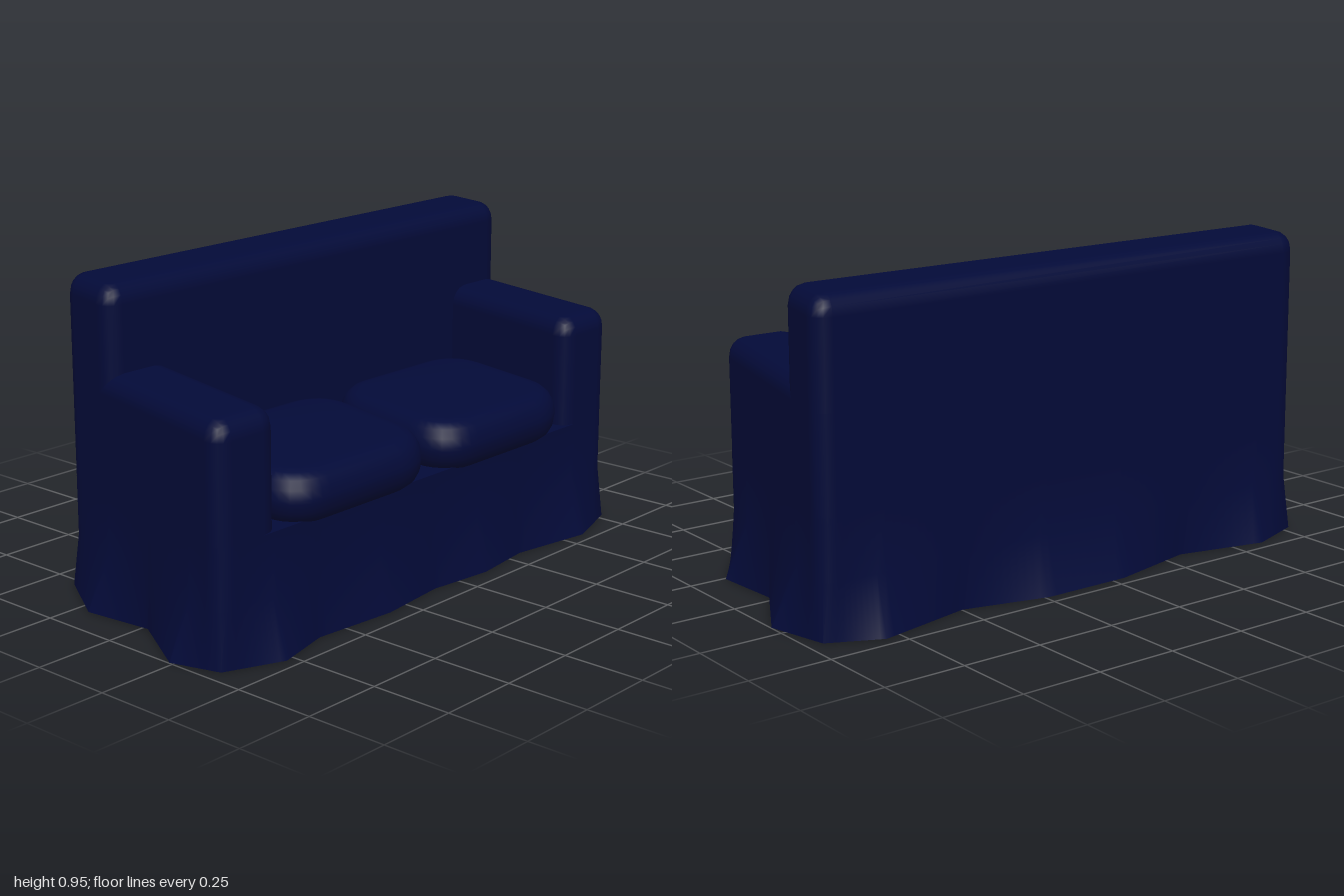
import * as THREE from 'three';
import { RoundedBoxGeometry } from 'three/addons/geometries/RoundedBoxGeometry.js';
import { toCreasedNormals } from 'three/addons/utils/BufferGeometryUtils.js';

const SLANT = 0.235;            // the whole sofa leans sideways in plan: z += SLANT * x
const HX = 0.4, HZ = 0.875;     // half depth and half length of the body
const R = 0.06, SEAT = 0.345;   // edge radius and seat height
const BACK = -0.15, ARM = 0.69, ARM_IN = 0.64; // backrest front, armrest top, armrest inner side
const LAP = 0.015;              // overlap of the upper parts over the walls
const slant = new THREE.Matrix4().set(1, 0, 0, 0, 0, 1, 0, 0, SLANT, 0, 1, 0, 0, 0, 0, 1);

// Rounded block from min to max; the sides flagged in openMin / openMax are cut off square
function shell(min, max, openMin, openMax) {
  const lo = min.map((v, k) => v - (openMin[k] ? R : 0));
  const hi = max.map((v, k) => v + (openMax[k] ? R : 0));
  const geo = new RoundedBoxGeometry(hi[0] - lo[0], hi[1] - lo[1], hi[2] - lo[2], 2, R);
  geo.translate((lo[0] + hi[0]) / 2, (lo[1] + hi[1]) / 2, (lo[2] + hi[2]) / 2);
  const src = geo.index ? geo.toNonIndexed() : geo;
  const p = src.attributes.position.array, n = src.attributes.normal.array;
  const pos = [], nor = [];
  for (let i = 0; i < p.length; i += 9) {
    const cut = [0, 1, 2].some((k) => {
      const c = (p[i + k] + p[i + 3 + k] + p[i + 6 + k]) / 3;
      return (openMin[k] && c < min[k] - 1e-4) || (openMax[k] && c > max[k] + 1e-4);
    });
    if (cut) continue;
    pos.push(...p.slice(i, i + 9));
    nor.push(...n.slice(i, i + 9));
  }
  const out = new THREE.BufferGeometry();
  out.setAttribute('position', new THREE.Float32BufferAttribute(pos, 3));
  out.setAttribute('normal', new THREE.Float32BufferAttribute(nor, 3));
  return out;
}

// Hem of the skirt seen from above (x, z)
const hem = [
  [-0.465, 0.6], [-0.4, 0.32], [-0.465, 0.04], [-0.465, -0.24], [-0.4, -0.5], [-0.465, -0.8],
  [-0.39, -0.955], [-0.2, -1], [0.02, -0.875], [0.24, -0.89], [0.4, -0.775], [0.465, -0.58],
  [0.42, -0.31], [0.445, -0.11], [0.42, 0.1], [0.445, 0.33], [0.42, 0.6], [0.465, 0.78],
  [0.39, 0.955], [0.24, 1], [0.02, 0.875], [-0.2, 0.9], [-0.4, 0.78],
];

// Nearest point on the rounded rectangle of the body
function onBody([x, z]) {
  const cx = THREE.MathUtils.clamp(x, R - HX, HX - R);
  const cz = THREE.MathUtils.clamp(z, R - HZ, HZ - R);
  const d = Math.hypot(x - cx, z - cz) || 1;
  return [cx + (x - cx) / d * R, cz + (z - cz) / d * R];
}

// Flared skirt and upright walls up to the seat, open above and below
function skirtAndWalls() {
  const STEPS = 10, low = [];
  hem.forEach(([x, z], i) => {
    const [nx, nz] = hem[(i + 1) % hem.length];
    for (let s = 0; s < STEPS; s++) {
      const t = s / STEPS, px = x + (nx - x) * t, pz = z + (nz - z) * t;
      low.push([px, pz - SLANT * px]);
    }
  });
  const wall = low.map(onBody), n = low.length;
  const pos = [], idx = [];
  [[low, 0], [wall, 0.165], [wall, SEAT]].forEach(([ring, y]) =>
    ring.forEach(([x, z]) => pos.push(x, y, z)));
  for (let i = 0; i < n; i++) {
    const j = (i + 1) % n;
    for (let r = 0; r < 2; r++) {
      const a = r * n + i, b = r * n + j;
      idx.push(a, a + n, b, b, a + n, b + n);
    }
  }
  const geo = new THREE.BufferGeometry();
  geo.setAttribute('position', new THREE.Float32BufferAttribute(pos, 3));
  geo.setIndex(idx);
  return toCreasedNormals(geo, 0.6);
}

// Plump seat cushion with rounded corners
function cushion(cz) {
  const bevel = 0.065, w = 0.297 - bevel, h = 0.322 - bevel, c = 0.11;
  const s = new THREE.Shape();
  s.moveTo(-w + c, -h);
  s.lineTo(w - c, -h).quadraticCurveTo(w, -h, w, -h + c);
  s.lineTo(w, h - c).quadraticCurveTo(w, h, w - c, h);
  s.lineTo(-w + c, h).quadraticCurveTo(-w, h, -w, h - c);
  s.lineTo(-w, -h + c).quadraticCurveTo(-w, -h, -w + c, -h);
  const geo = new THREE.ExtrudeGeometry(s, {
    depth: 0.01, bevelThickness: 0.073, bevelSize: bevel, bevelSegments: 4, curveSegments: 8,
  });
  geo.rotateX(-Math.PI / 2);
  geo.translate(0.146, 0.402, cz);
  return toCreasedNormals(geo, 0.5);
}

// Copy of a surface moved slightly inwards along its normals
function inset(geo) {
  const copy = geo.clone();
  const p = copy.attributes.position.array, n = copy.attributes.normal.array;
  p.forEach((v, i) => { p[i] = v - 0.004 * n[i]; });
  return copy;
}

export function createModel() {
  const sofa = new THREE.Group();
  sofa.name = 'sofa';
  const fabric = new THREE.MeshStandardMaterial({ color: 0x030a38, side: THREE.DoubleSide });
  const grey = new THREE.MeshStandardMaterial({ color: 0x484848, side: THREE.DoubleSide });
  const add = (name, geo, material = fabric) => {
    const mesh = new THREE.Mesh(geo.applyMatrix4(slant), material);
    mesh.name = name;
    sofa.add(mesh);
  };
  // Hollow part: fabric outside, grey lining inside
  const addHollow = (name, geo) => {
    add(name + 'Lining', inset(geo), grey);
    add(name, geo);
  };

  addHollow('skirtAndWalls', skirtAndWalls());
  const deck = new THREE.PlaneGeometry(HX - BACK, 2 * ARM_IN + 0.14).rotateX(-Math.PI / 2);
  addHollow('seatDeck', deck.translate((HX + BACK) / 2, SEAT, 0));

  // Backrest: full upper part, lower outer walls, and the panel behind the cushions
  const split = ARM - R, joint = BACK - R, low = SEAT - LAP;
  addHollow('backrestTop', shell([-HX, split, -HZ], [BACK, 0.945, HZ], [0, 1, 0], [0, 0, 0]));
  addHollow('backrestWalls', shell([-HX, low, -HZ], [joint, split, HZ], [0, 1, 0], [1, 1, 0]));
  const panel = new THREE.PlaneGeometry(2 * ARM_IN, split - SEAT).rotateY(Math.PI / 2);
  addHollow('backrestPanel', panel.translate(BACK, (split + SEAT) / 2, 0));

  for (const side of [-1, 1]) {
    const label = side < 0 ? 'right' : 'left';
    const z0 = side < 0 ? -HZ : ARM_IN, z1 = side < 0 ? -ARM_IN : HZ;
    addHollow(label + 'Armrest', shell([joint, low, z0], [HX, ARM, z1], [1, 1, 0], [0, 0, 0]));
    add(label + 'Cushion', cushion(side * 0.322));
  }
  return sofa;
}
